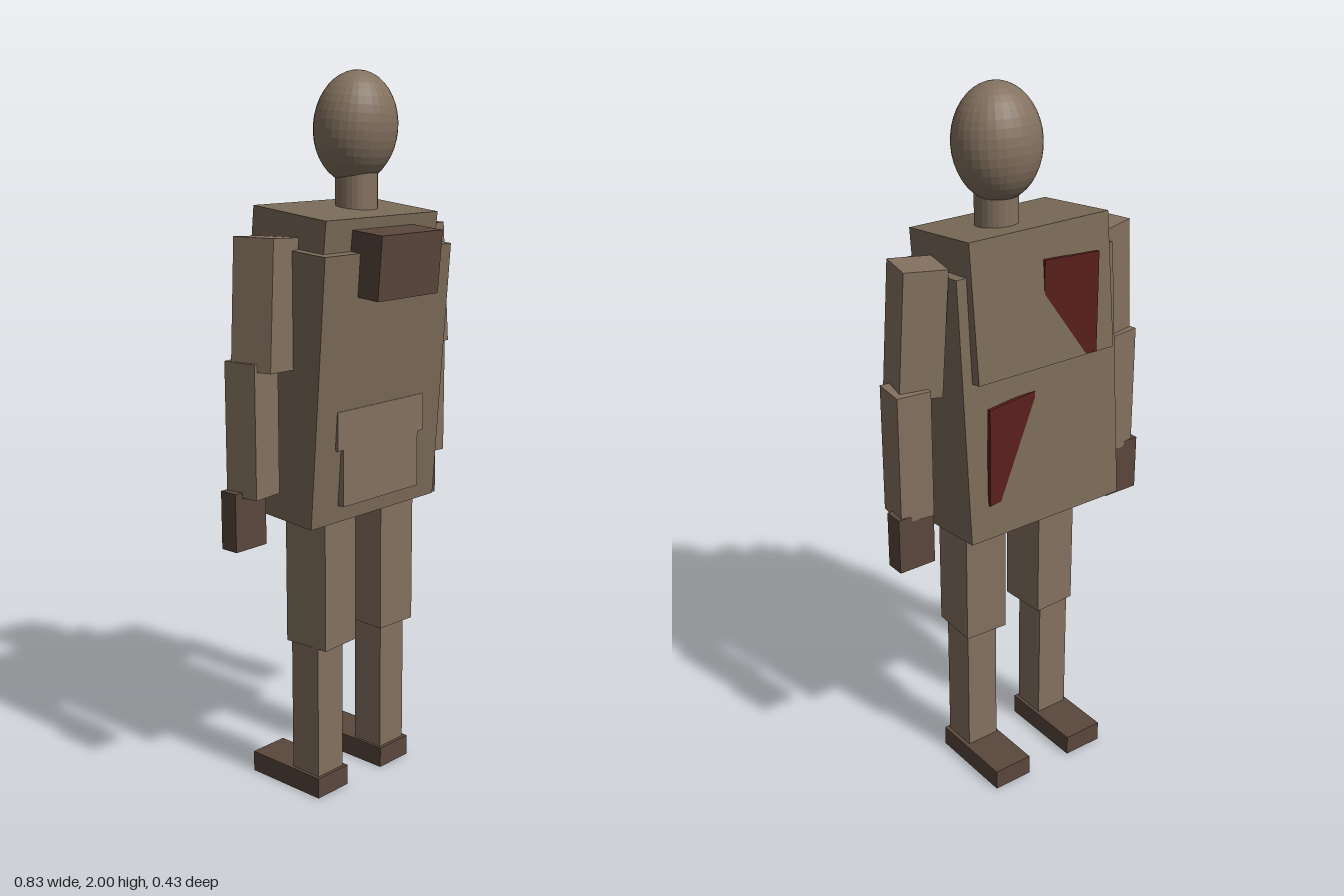
import * as THREE from 'three';

const paint = (color) => new THREE.MeshStandardMaterial({ color, flatShading: true });

export function createModel() {
  const model = new THREE.Group();
  const coat = paint(0x7a6b58), cloth = paint(0x83715f), dark = paint(0x5a473c), red = paint(0x5a1f1c);

  // Box given by size and centre; turned about x, z first and then y
  function box(name, mat, size, pos, rot = [0, 0, 0]) {
    const mesh = new THREE.Mesh(new THREE.BoxGeometry(...size), mat);
    mesh.name = name;
    mesh.position.set(...pos);
    mesh.rotation.set(rot[0], rot[1], rot[2], 'YXZ');
    model.add(mesh);
    return mesh;
  }

  // Torso leaning forward, with the shoulder block rising out of it
  box('torso', coat, [0.505, 0.727, 0.276], [-0.007, 1.185, -0.025], [0.076, 0, 0]);
  box('shoulderBlock', coat, [0.445, 0.37, 0.264], [-0.007, 1.454, -0.035], [0.105, 0, 0]);

  // Chest pack and the flat belly pouch with its flap
  box('chestPack', dark, [0.243, 0.17, 0.13], [-0.006, 1.507, 0.143], [0.085, 0, 0]);
  box('bellyPouch', cloth, [0.305, 0.22, 0.06], [-0.007, 0.97, 0.08]);
  box('pouchFlap', cloth, [0.35, 0.105, 0.06], [-0.007, 1.07, 0.081]);

  // Red plates half sunk into the sloping back
  box('upperBackPlate', red, [0.16, 0.28, 0.01], [-0.088, 1.426, -0.173], [0, -0.157, 0]);
  box('lowerBackPlate', red, [0.168, 0.28, 0.01], [0.102, 1.07, -0.171], [0, 0.157, 0]);

  // Neck and egg-shaped head
  const neck = new THREE.Mesh(new THREE.CylinderGeometry(0.058, 0.058, 0.14, 24), cloth);
  neck.name = 'neck';
  neck.position.set(0.043, 1.68, -0.028);
  const head = new THREE.Mesh(new THREE.SphereGeometry(1, 32, 20), cloth);
  head.name = 'head';
  head.scale.set(0.12, 0.15, 0.11);
  head.position.set(0.043, 1.85, -0.031);
  head.rotation.x = 0.1;
  model.add(neck, head);

  // Limbs, mirrored: s = 1 is the left side
  for (const s of [1, -1]) {
    const side = s > 0 ? 'left' : 'right';
    const limb = (part, mat, size, x, y, z, mid, ry = 0, rz = 0) =>
      box(side + part, mat, size, [mid + s * x, y, z], [0, s * ry, s * rz]);
    limb('UpperArm', cloth, [0.119, 0.342, 0.121], 0.305, 1.41, -0.026, -0.006, -0.227, 0.065);
    limb('Forearm', cloth, [0.096, 0.36, 0.1], 0.345, 1.085, -0.046, 0.002, -0.12);
    limb('Hand', dark, [0.11, 0.16, 0.055], 0.358, 0.84, -0.066, -0.002);
    limb('Thigh', cloth, [0.13, 0.42, 0.142], 0.121, 0.655, -0.004, -0.008, -0.05);
    limb('Shin', cloth, [0.1, 0.4, 0.1], 0.131, 0.255, -0.01, -0.009);
    limb('Foot', dark, [0.12, 0.06, 0.262], 0.132, 0.03, -0.082, -0.008);
  }
  return model;
}
